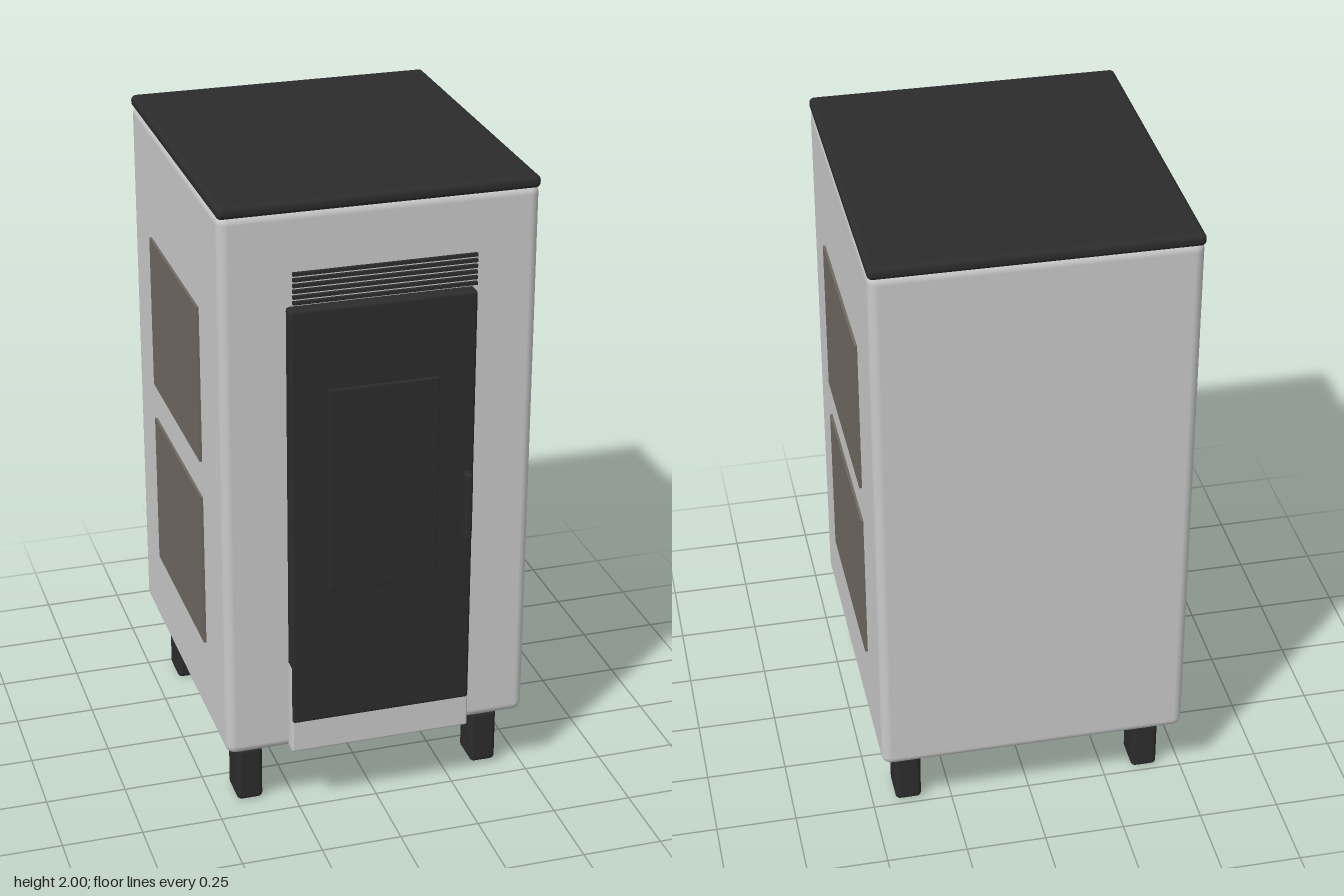
import * as THREE from 'three';
import { RoundedBoxGeometry } from 'three/addons/geometries/RoundedBoxGeometry.js';

export function createModel() {
  const group = new THREE.Group();
  const material = (name, color) => {
    const m = new THREE.MeshStandardMaterial({ color });
    m.name = name;
    return m;
  };
  const silver = material('silver', 0xc9c9c9);
  const black = material('black', 0x2c2c2c);
  const taupe = material('taupe', 0x6e6860);

  // Box given by its [min, max] extents, with optionally rounded edges
  const box = (name, mat, [x0, x1], [y0, y1], [z0, z1], radius = 0) => {
    const size = [x1 - x0, y1 - y0, z1 - z0];
    const geometry = radius
      ? new RoundedBoxGeometry(...size, 4, radius)
      : new THREE.BoxGeometry(...size);
    const mesh = new THREE.Mesh(geometry, mat);
    mesh.name = name;
    mesh.position.set((x0 + x1) / 2, (y0 + y1) / 2, (z0 + z1) / 2);
    group.add(mesh);
  };

  // Cabinet and lid
  box('cabinet', silver, [-0.479, 0.479], [0.225, 1.975], [-0.575, 0.507], 0.03);
  box('lid', black, [-0.48, 0.48], [1.962, 2], [-0.577, 0.508], 0.016);

  // Door with its window and handle, and the skirt below it
  box('door', black, [-0.284, 0.281], [0.33, 1.685], [0.495, 0.547], 0.01);
  box('skirt', silver, [-0.285, 0.282], [0.228, 0.53], [0.495, 0.544], 0.008);
  box('window', black, [-0.17, 0.166], [0.775, 1.432], [0.54, 0.557], 0.003);
  box('handle', black, [0.248, 0.27], [0.895, 1.112], [0.54, 0.577], 0.007);

  // Air vent slats above the door
  for (let i = 0; i < 6; i++) {
    const y = 1.714 + i * 0.0174;
    box('ventSlat', black, [-0.277, 0.273], [y - 0.005, y + 0.005], [0.549, 0.559]);
  }

  for (const side of [-1, 1]) {
    // Two inset panels on each side
    const x = [side * 0.47, side * 0.487].sort((a, b) => a - b);
    box('upperSidePanel', taupe, x, [1.115, 1.612], [-0.333, 0.265]);
    box('lowerSidePanel', taupe, x, [0.495, 0.995], [-0.333, 0.265]);

    // Feet
    const footX = [side * 0.385 - 0.041, side * 0.385 + 0.041];
    box('frontFoot', black, footX, [0, 0.184], [0.301, 0.417], 0.015);
    box('backFoot', black, footX, [0, 0.184], [-0.483, -0.367], 0.015);
  }
  return group;
}
